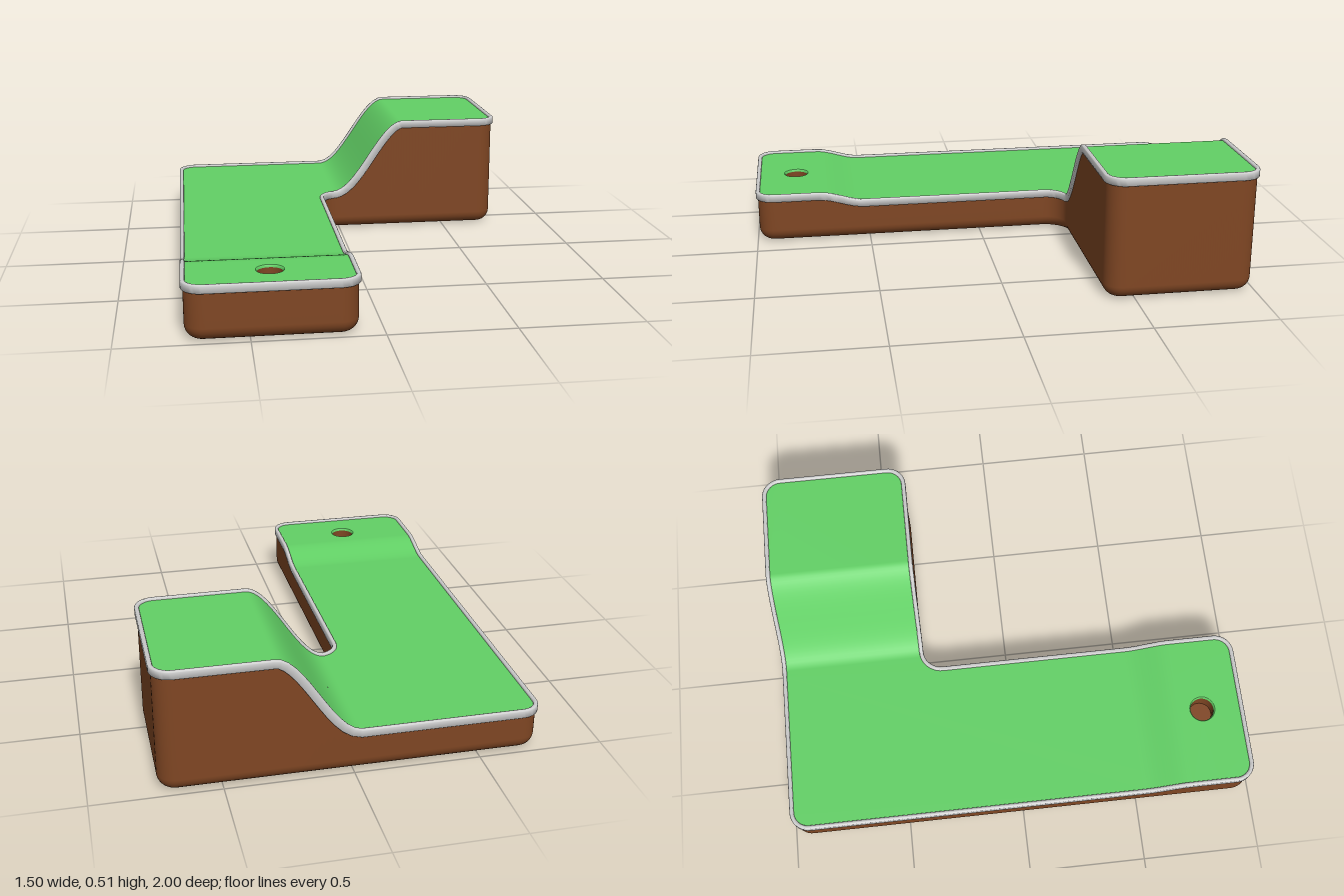
import * as THREE from 'three';
import { mergeGeometries, toCreasedNormals } from 'three/addons/utils/BufferGeometryUtils.js';

const R = 0.08; // corner radius of the L-shaped plan
const CORNERS = [[-0.75, -1], [-0.75, 1], [-0.085, 1], [-0.085, -0.37], [0.75, -0.37], [0.75, -1]];
const INNER_CORNER = 3;
const RAMP_X = [-0.03, 0.3], RAMP_Z = [0.52, 0.72]; // extents of the two slopes
const HOLE = { x: -0.415, z: 0.82, r: 0.055 };

// Height of the rim top over the plan, and its upward normal
const height = (x, z) => 0.185
  + 0.33 * THREE.MathUtils.smoothstep(x, ...RAMP_X)
  + 0.04 * THREE.MathUtils.smoothstep(z, ...RAMP_Z);

function normalAt(x, z) {
  const e = 0.002;
  return new THREE.Vector3(
    (height(x - e, z) - height(x + e, z)) / (2 * e), 1,
    (height(x, z - e) - height(x, z + e)) / (2 * e)).normalize();
}

// Point a distance v above (or below) the rim-top surface
const onSurface = (x, z, v) => new THREE.Vector3(x, height(x, z), z).addScaledVector(normalAt(x, z), v);

// Rounded L outline (x, z), inset by d; always the same number of points
function outline(d) {
  const arcSteps = 10, edgeSteps = 48;
  const pts = CORNERS.map(c => new THREE.Vector2(...c));
  const n = pts.length;
  const arcs = pts.map((p, i) => {
    const dIn = p.clone().sub(pts[(i + n - 1) % n]).normalize();
    const dOut = pts[(i + 1) % n].clone().sub(p).normalize();
    const centre = p.clone().addScaledVector(dIn, -R).addScaledVector(dOut, R);
    const r = i === INNER_CORNER ? R + d : R - d;
    return Array.from({ length: arcSteps + 1 }, (_, k) => {
      const a = (k / arcSteps) * Math.PI / 2;
      return centre.clone().addScaledVector(dOut, -r * Math.cos(a)).addScaledVector(dIn, r * Math.sin(a));
    });
  });
  return arcs.flatMap((arc, i) => {
    const from = arc[arcSteps], to = arcs[(i + 1) % n][0];
    const edge = Array.from({ length: edgeSteps - 1 }, (_, k) => from.clone().lerp(to, (k + 1) / edgeSteps));
    return [...arc, ...edge];
  });
}

// Skin between closed rings of equal point count
function loft(rings) {
  const n = rings[0].length, index = [];
  for (let j = 0; j < rings.length - 1; j++) {
    for (let i = 0; i < n; i++) {
      const a = j * n + i, b = j * n + (i + 1) % n;
      index.push(a, b, a + n, b, b + n, a + n);
    }
  }
  const geo = new THREE.BufferGeometry().setFromPoints(rings.flat());
  geo.setIndex(index);
  geo.computeVertexNormals();
  return geo;
}

// Piece of the turf: the outline clamped to a rectangle, draped on the surface
function turfPatch(x0, x1, z0, z1, withHole = false) {
  const pts = outline(0.012)
    .map(p => new THREE.Vector2(THREE.MathUtils.clamp(p.x, x0, x1), -THREE.MathUtils.clamp(p.y, z0, z1)))
    .filter((p, i, all) => !p.equals(all[(i + all.length - 1) % all.length]));
  const shape = new THREE.Shape(pts);
  if (withHole) {
    const path = new THREE.Path();
    path.absarc(HOLE.x, -HOLE.z, HOLE.r, 0, Math.PI * 2, true);
    shape.holes.push(path);
  }
  const geo = new THREE.ShapeGeometry(shape, 24).rotateX(-Math.PI / 2);
  const pos = geo.attributes.position, nor = geo.attributes.normal;
  for (let i = 0; i < pos.count; i++) {
    const x = pos.getX(i), z = pos.getZ(i);
    const p = onSurface(x, z, -0.01), m = normalAt(x, z);
    pos.setXYZ(i, p.x, p.y, p.z);
    nor.setXYZ(i, m.x, m.y, m.z);
  }
  return geo;
}

function turfGeometry() {
  const steps = 24, armEdge = -0.382, legEdge = -0.097;
  const patches = [
    turfPatch(-1, RAMP_X[0], -1, RAMP_Z[0]),
    turfPatch(RAMP_X[1], 1, -1, armEdge),
    turfPatch(-1, legEdge, RAMP_Z[1], 1, true),
  ];
  for (let i = 0; i < steps; i++) {
    const cut = ([a, b]) => [a + (b - a) * i / steps, a + (b - a) * (i + 1) / steps];
    patches.push(turfPatch(...cut(RAMP_X), -1, armEdge));
    patches.push(turfPatch(-1, legEdge, ...cut(RAMP_Z)));
  }
  return mergeGeometries(patches);
}

export function createModel() {
  const group = new THREE.Group();
  const material = color => new THREE.MeshStandardMaterial({ color });
  const earth = material(0x7f4623), grass = material(0x62d065), grey = material(0xcccccc);
  const add = (name, geo, mat) => {
    const mesh = new THREE.Mesh(geo, mat);
    mesh.name = name;
    group.add(mesh);
    return mesh;
  };

  // Earth body: rounded bottom edge, walls up to just under the rim
  const inset = 0.009, fillet = 0.055, rings = [];
  for (let k = 0; k <= 8; k++) {
    const a = (k / 8) * Math.PI / 2;
    const y = fillet * (1 - Math.cos(a));
    rings.push(outline(inset + fillet * (1 - Math.sin(a))).map(p => new THREE.Vector3(p.x, y, p.y)));
  }
  rings.push(outline(inset).map(p => onSurface(p.x, p.y, -0.02)));
  add('earthBody', loft(rings), earth);

  // Flat underside
  add('underside', new THREE.ShapeGeometry(new THREE.Shape(outline(inset + fillet))).rotateX(Math.PI / 2), earth);

  // Rim: a small profile (inset, lift) swept round the outline
  const profile = [[0.014, -0.034], [0.002, -0.034], [0, -0.032], [0, -0.006], [0.002, -0.002], [0.006, 0],
    [0.012, 0], [0.016, -0.002], [0.018, -0.006], [0.018, -0.016]];
  const rim = loft(profile.map(([d, v]) => outline(d).map(p => onSurface(p.x, p.y, v))));
  add('rim', toCreasedNormals(rim, 0.9), grey);

  // Turf with its two slopes
  add('turf', turfGeometry(), grass);

  // Hole: soft turf lip and an earth cup
  const top = height(HOLE.x, HOLE.z) - 0.01;
  const lathe = pts => new THREE.LatheGeometry(pts.map(p => new THREE.Vector2(...p)), 48);
  const lip = add('holeLip', lathe([[0.05, -0.012], [0.051, -0.005], [0.053, -0.001], [HOLE.r, 0]]), grass);
  const wall = add('holeWall', lathe([[0.05, -0.08], [0.05, -0.01]]), earth);
  const floor = add('holeFloor', new THREE.CircleGeometry(0.05, 48).rotateX(-Math.PI / 2), earth);
  lip.material = grass.clone();
  wall.material = earth.clone();
  lip.material.side = wall.material.side = THREE.DoubleSide;
  lip.position.set(HOLE.x, top, HOLE.z);
  wall.position.copy(lip.position);
  floor.position.set(HOLE.x, top - 0.08, HOLE.z);

  return group;
}
